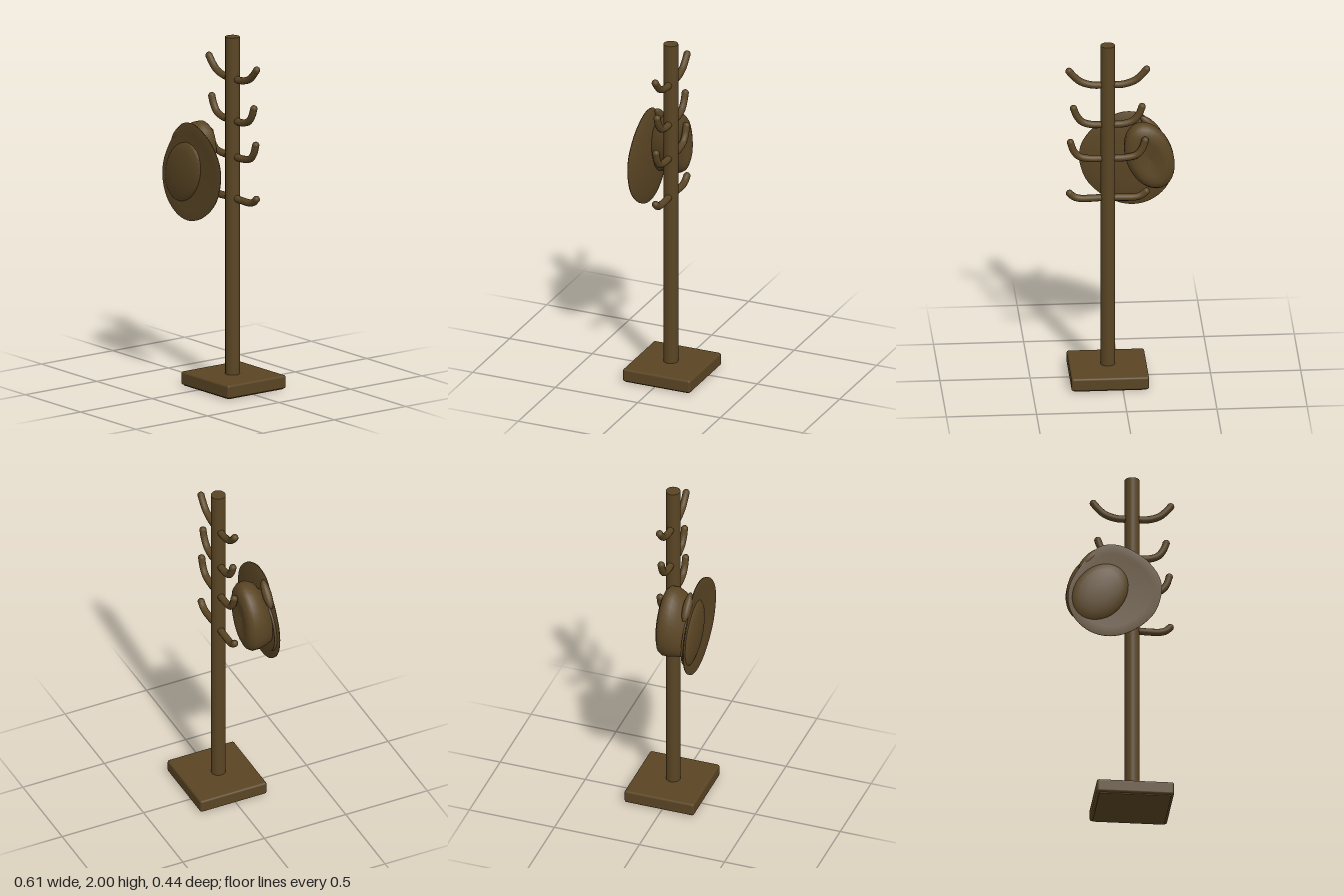
import * as THREE from 'three';
import { RoundedBoxGeometry } from 'three/addons/geometries/RoundedBoxGeometry.js';

const wood = new THREE.MeshStandardMaterial({ color: 0x5a4524 });
wood.name = 'darkBrown';

const POLE_X = 0.07, POLE_Z = -0.008;

function add(parent, name, geometry, x = 0, y = 0, z = 0) {
  const mesh = new THREE.Mesh(geometry, wood);
  mesh.name = name;
  mesh.position.set(x, y, z);
  parent.add(mesh);
  return mesh;
}

// Joins rings of equal length, each counter-clockwise seen from +z
function loft(rings) {
  const n = rings[0].length, index = [];
  for (let r = 0; r < rings.length - 1; r++) {
    for (let i = 0; i < n; i++) {
      const j = (i + 1) % n, a = r * n, b = a + n;
      index.push(a + i, a + j, b + j, a + i, b + j, b + i);
    }
  }
  const geometry = new THREE.BufferGeometry();
  geometry.setAttribute('position', new THREE.Float32BufferAttribute(rings.flat(2), 3));
  geometry.setIndex(index);
  geometry.computeVertexNormals();
  return geometry;
}

// Ellipse in the xy plane whose top leans towards +x
function ellipseRing(z, cx, cy, rx, ry, tilt) {
  const ring = [];
  for (let i = 0; i < 32; i++) {
    const t = (i / 32) * Math.PI * 2, u = rx * Math.cos(t), v = ry * Math.sin(t);
    ring.push([
      cx + u * Math.cos(tilt) + v * Math.sin(tilt),
      cy - u * Math.sin(tilt) + v * Math.cos(tilt),
      z,
    ]);
  }
  return ring;
}

// One upturned peg with a rounded tip; side is 1 or -1
function makeHook(points, side) {
  const hook = new THREE.Group();
  hook.name = side > 0 ? 'leftHook' : 'rightHook';
  const path = points.map(([x, y]) => new THREE.Vector3(side * x, y, 0));
  add(hook, 'hookArm', new THREE.TubeGeometry(new THREE.CatmullRomCurve3(path), 16, 0.02, 10));
  const tip = path[path.length - 1];
  add(hook, 'hookTip', new THREE.SphereGeometry(0.0205, 12, 8), tip.x, tip.y, 0);
  hook.position.set(POLE_X, 0, POLE_Z - 0.002);
  return hook;
}

function makeHat() {
  const hat = new THREE.Group();
  hat.name = 'hat';

  // Crown, pointing backwards, with a dented top
  const crown = [
    [0.024, -0.165, 1.29, 0, 0],
    [0.012, -0.165, 1.29, 0.06, 0.11],
    [0.008, -0.165, 1.29, 0.09, 0.145],
    [0.022, -0.165, 1.295, 0.119, 0.182],
    [0.045, -0.165, 1.297, 0.13, 0.2],
    [0.085, -0.165, 1.297, 0.13, 0.2],
    [0.125, -0.16, 1.285, 0.122, 0.185],
    [0.155, -0.15, 1.26, 0.1, 0.165],
    [0.175, -0.15, 1.25, 0.09, 0.15],
  ];
  add(hat, 'crown', loft(crown.map((c) => ellipseRing(...c, 0.35))));

  // Brim, trimmed at the upper corner where it folds back
  const outline = [
    [0.215, 1.24], [0.2, 1.33], [0.13, 1.425], [0.04, 1.485], [-0.04, 1.51],
    [-0.13, 1.495], [-0.19, 1.43], [-0.25, 1.35], [-0.3, 1.24], [-0.302, 1.13],
    [-0.26, 1.04], [-0.18, 0.975], [-0.09, 0.953], [0, 0.968], [0.1, 1.025], [0.18, 1.115],
  ].map(([x, y]) => new THREE.Vector3(x, y, 0));
  const rim = new THREE.CatmullRomCurve3(outline, true).getPoints(64).slice(0, 64);
  const brimRing = ([s, z]) => rim.map((p) => [-0.05 + s * (p.x + 0.05), 1.23 + s * (p.y - 1.23), z]);
  const brim = [[0, 0.16], [0.5, 0.16], [0.8, 0.172], [1, 0.184], [1, 0.191], [0.8, 0.189], [0.5, 0.184], [0, 0.184]];
  add(hat, 'brim', loft(brim.map(brimRing)));

  // Shallow swelling on the front of the hat
  const bulge = [
    [0.165, 0.97], [0.183, 1], [0.196, 0.92], [0.207, 0.72], [0.213, 0.45], [0.216, 0.2], [0.216, 0],
  ];
  add(hat, 'frontSwelling', loft(bulge.map(([z, s]) => ellipseRing(z, -0.13, 1.22, 0.145 * s, 0.19 * s, 0.6))));

  // Folded flap at the trimmed corner
  const flap = add(hat, 'brimFlap', new THREE.SphereGeometry(1, 20, 12), -0.185, 1.425, 0.168);
  flap.scale.set(0.028, 0.085, 0.026);
  flap.rotation.z = -0.75;
  return hat;
}

export function createModel() {
  const model = new THREE.Group();
  model.name = 'coatRack';

  // Square foot and post
  add(model, 'base', new RoundedBoxGeometry(0.43, 0.075, 0.408, 3, 0.012), POLE_X, 0.0425, -0.015);
  add(model, 'baseSole', new THREE.BoxGeometry(0.4, 0.01, 0.38), POLE_X, 0.005, -0.015);
  add(model, 'post', new THREE.CylinderGeometry(0.041, 0.041, 1.93, 16), POLE_X, 1.035, POLE_Z);

  // Four tiers of mirrored hooks, as offsets from the post
  const tiers = [
    [[0, 1.765], [0.08, 1.763], [0.15, 1.785], [0.19, 1.82], [0.215, 1.85]],
    [[0, 1.525], [0.09, 1.525], [0.145, 1.545], [0.175, 1.585], [0.19, 1.625]],
    [[0, 1.32], [0.1, 1.32], [0.16, 1.335], [0.19, 1.37], [0.207, 1.42]],
    [[0, 1.085], [0.1, 1.08], [0.16, 1.082], [0.19, 1.093], [0.212, 1.113]],
  ];
  for (const tier of tiers) {
    for (const side of [1, -1]) model.add(makeHook(tier, side));
  }

  model.add(makeHat());
  return model;
}
